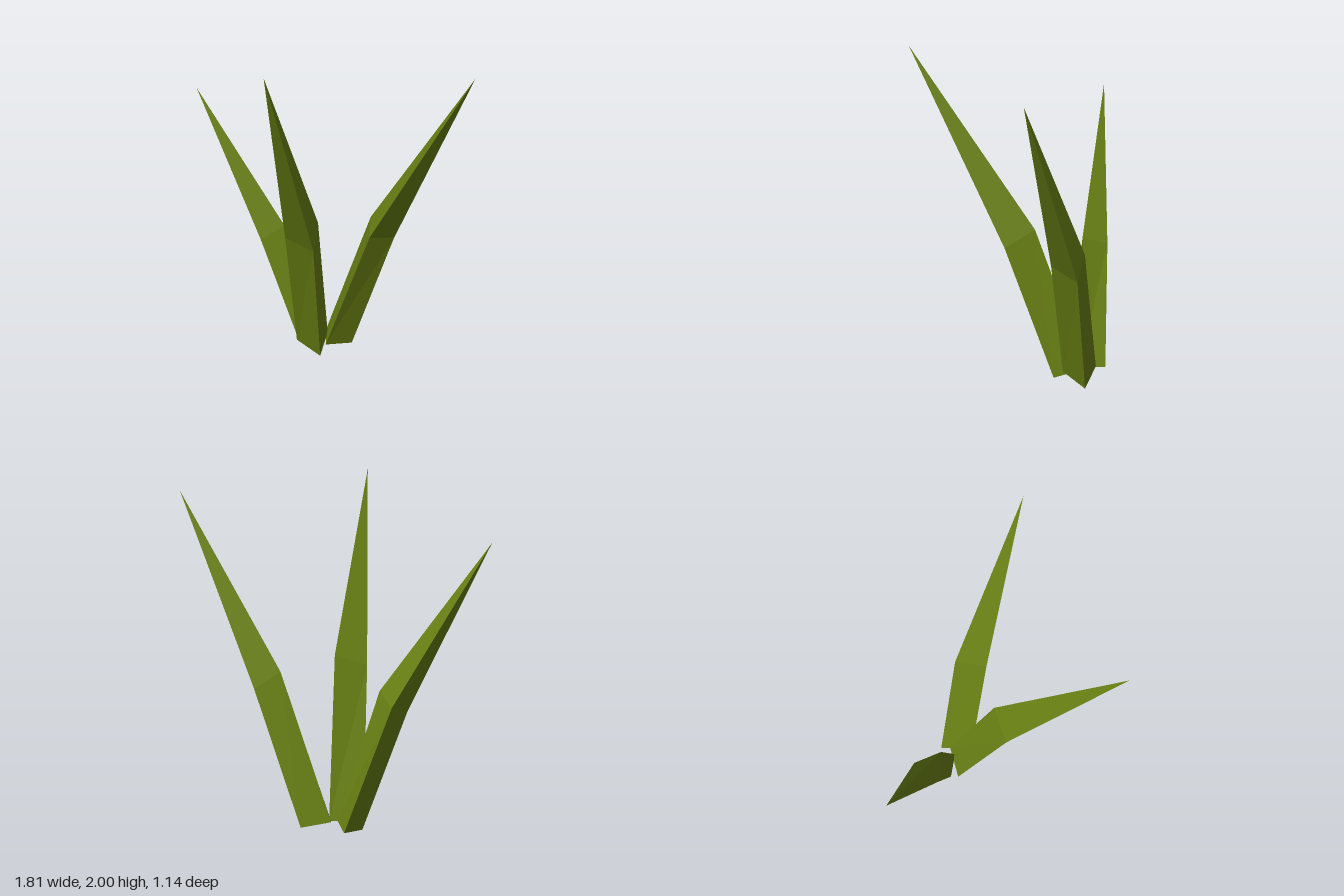
import * as THREE from 'three';

const material = new THREE.MeshStandardMaterial({ color: 0x6a8214, flatShading: true });

// A blade is a closed three-sided loft: base ring, bend ring, pointed tip.
// Rings run counter-clockwise seen from above.
function createBlade(name, base, bend, tip) {
  const positions = [];
  const triangle = (a, b, c) => positions.push(...a, ...b, ...c);

  for (let i = 0; i < 3; i++) {
    const j = (i + 1) % 3;
    triangle(base[i], base[j], bend[j]);
    triangle(base[i], bend[j], bend[i]);
    triangle(bend[i], bend[j], tip);
  }
  triangle(base[0], base[2], base[1]); // closed foot

  const geometry = new THREE.BufferGeometry();
  geometry.setAttribute('position', new THREE.Float32BufferAttribute(positions, 3));
  geometry.computeVertexNormals();
  const blade = new THREE.Mesh(geometry, material);
  blade.name = name;
  return blade;
}

export function createModel() {
  const plant = new THREE.Group();
  plant.name = 'grassTuft';

  plant.add(
    // Tallest blade, leaning forward
    createBlade(
      'frontBlade',
      [[-0.2, 0.04, -0.35], [0, 0, -0.285], [-0.04, 0.07, -0.48]],
      [[-0.115, 0.88, -0.03], [0.087, 0.84, 0], [0.035, 0.955, -0.17]],
      [0.08, 2, 0.57]
    ),
    // Blade leaning towards +x
    createBlade(
      'leftBlade',
      [[0.12, 0.02, -0.51], [-0.07, 0.08, -0.53], [0.01, 0.055, -0.345]],
      [[0.39, 0.8, -0.515], [0.23, 0.91, -0.515], [0.3, 0.845, -0.34]],
      [0.905, 1.89, -0.355]
    ),
    // Shortest blade, leaning towards -x
    createBlade(
      'rightBlade',
      [[-0.21, 0.01, -0.4], [-0.07, 0.06, -0.43], [-0.16, 0.04, -0.57]],
      [[-0.45, 0.7, -0.335], [-0.3, 0.81, -0.375], [-0.41, 0.75, -0.507]],
      [-0.905, 1.64, -0.35]
    )
  );
  return plant;
}
